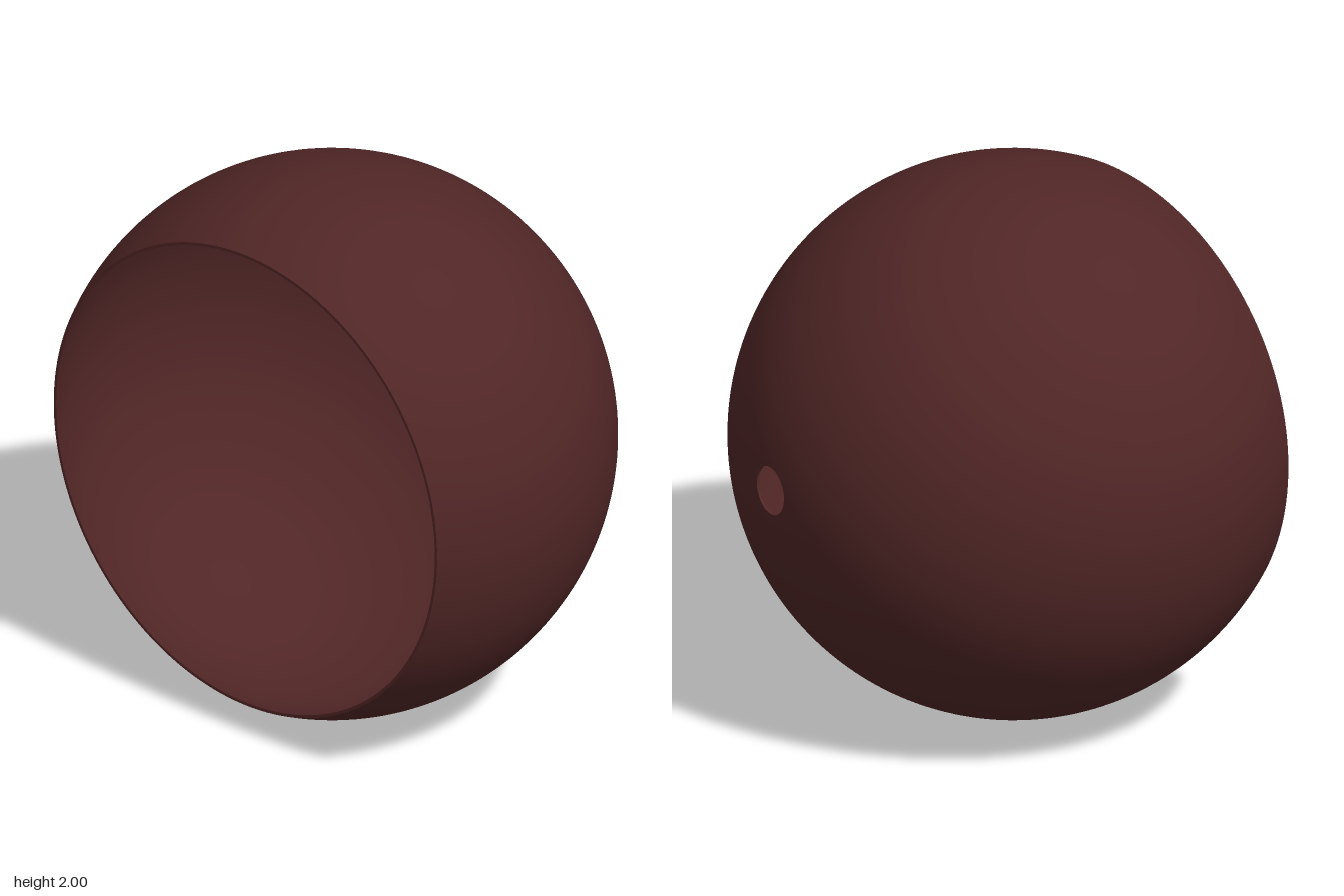
import * as THREE from 'three';

const OUTER = 1, INNER = 0.99;
const CUT = 0.46; // opening plane, measured from the sphere centre
const HOLE = { x: 0.256, y: 0.016, r: 0.0875 };
const AROUND = 160;

// Edge of the small round hole, bored along z through the back
const holeEdge = (radius) => (a) => {
  const x = HOLE.x + HOLE.r * Math.cos(a), y = HOLE.y + HOLE.r * Math.sin(a);
  return new THREE.Vector3(x, y, -Math.sqrt(radius * radius - x * x - y * y));
};

// Edge of the large front opening
const rimEdge = (radius) => (a) => {
  const r = Math.sqrt(radius * radius - CUT * CUT);
  return new THREE.Vector3(r * Math.cos(a), r * Math.sin(a), CUT);
};

// Point on the great-circle arc from p to q
function arc(p, q, t) {
  const w = p.angleTo(q);
  return p.clone().multiplyScalar(Math.sin((1 - t) * w) / Math.sin(w))
    .addScaledVector(q, Math.sin(t * w) / Math.sin(w));
}

// Closed surface strip between two edges, straight or following the sphere
function loft(from, to, rows, curved) {
  const positions = [], index = [];
  for (let j = 0; j <= rows; j++) {
    for (let i = 0; i < AROUND; i++) {
      const a = (i / AROUND) * Math.PI * 2;
      const p = from(a), q = to(a), t = j / rows;
      positions.push(...(curved ? arc(p, q, t) : p.lerp(q, t)).toArray());
    }
  }
  for (let j = 0; j < rows; j++) {
    for (let i = 0; i < AROUND; i++) {
      const n = (i + 1) % AROUND, lo = j * AROUND, hi = lo + AROUND;
      index.push(lo + i, lo + n, hi + i, lo + n, hi + n, hi + i);
    }
  }
  const geometry = new THREE.BufferGeometry();
  geometry.setAttribute('position', new THREE.Float32BufferAttribute(positions, 3));
  geometry.setIndex(index);
  geometry.computeVertexNormals();
  return geometry;
}

export function createModel() {
  const model = new THREE.Group();
  model.name = 'hollowSphere';
  const maroon = new THREE.MeshStandardMaterial({ color: 0x512626 });
  maroon.name = 'dark maroon';

  const add = (name, geometry) => {
    const mesh = new THREE.Mesh(geometry, maroon);
    mesh.name = name;
    mesh.position.set(0, 1, 0.27);
    model.add(mesh);
  };

  add('outerShell', loft(holeEdge(OUTER), rimEdge(OUTER), 80, true));
  add('innerShell', loft(rimEdge(INNER), holeEdge(INNER), 80, true));
  add('frontRim', loft(rimEdge(OUTER), rimEdge(INNER), 1, false));
  add('holeWall', loft(holeEdge(INNER), holeEdge(OUTER), 1, false));
  return model;
}
